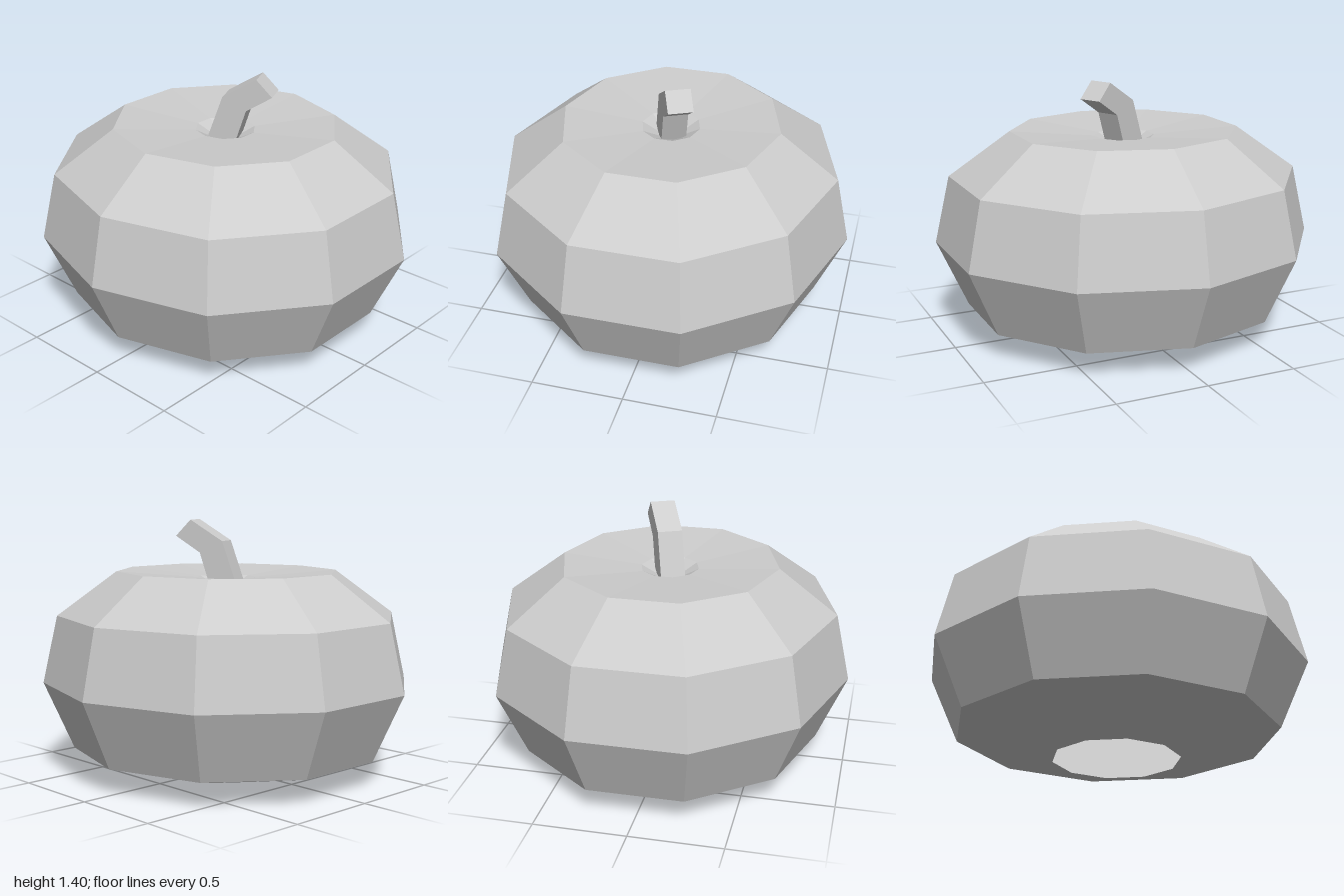
import * as THREE from 'three';

export function createModel() {
  const model = new THREE.Group();
  const grey = new THREE.MeshStandardMaterial({
    color: 0xcccccc, flatShading: true, side: THREE.DoubleSide,
  });
  grey.name = 'plain grey';

  // Ten-sided squash body, open underneath, dished around the stem
  const profile = [
    [0.33, 0], [0.84, 0.14], [1, 0.51], [0.92, 0.88],
    [0.6, 1.12], [0.16, 1.085], [0, 1.0],
  ].map(([r, y]) => new THREE.Vector2(r, y));
  const bodyGeometry = new THREE.LatheGeometry(profile, 10);
  // Widen so the flat sides reach as far as the front and back corners
  bodyGeometry.scale(1 / Math.sin(Math.PI * 0.4), 1, 1);
  const body = new THREE.Mesh(bodyGeometry, grey);
  body.name = 'pumpkinBody';
  model.add(body);

  // Bent square stem: side outline extruded to its width, then turned
  const outline = [
    [-0.09, 1.02], [0.07, 1.02], [0.135, 1.22],
    [0.277, 1.31], [0.19, 1.4], [0.003, 1.285],
  ].map(([s, y]) => new THREE.Vector2(s, y));
  const width = 0.134;
  const stemGeometry = new THREE.ExtrudeGeometry(new THREE.Shape(outline), {
    depth: width, bevelEnabled: false,
  });
  stemGeometry.translate(0, 0, -width / 2);
  const stem = new THREE.Mesh(stemGeometry, grey);
  stem.name = 'stem';
  stem.rotation.y = THREE.MathUtils.degToRad(25);
  model.add(stem);

  return model;
}
